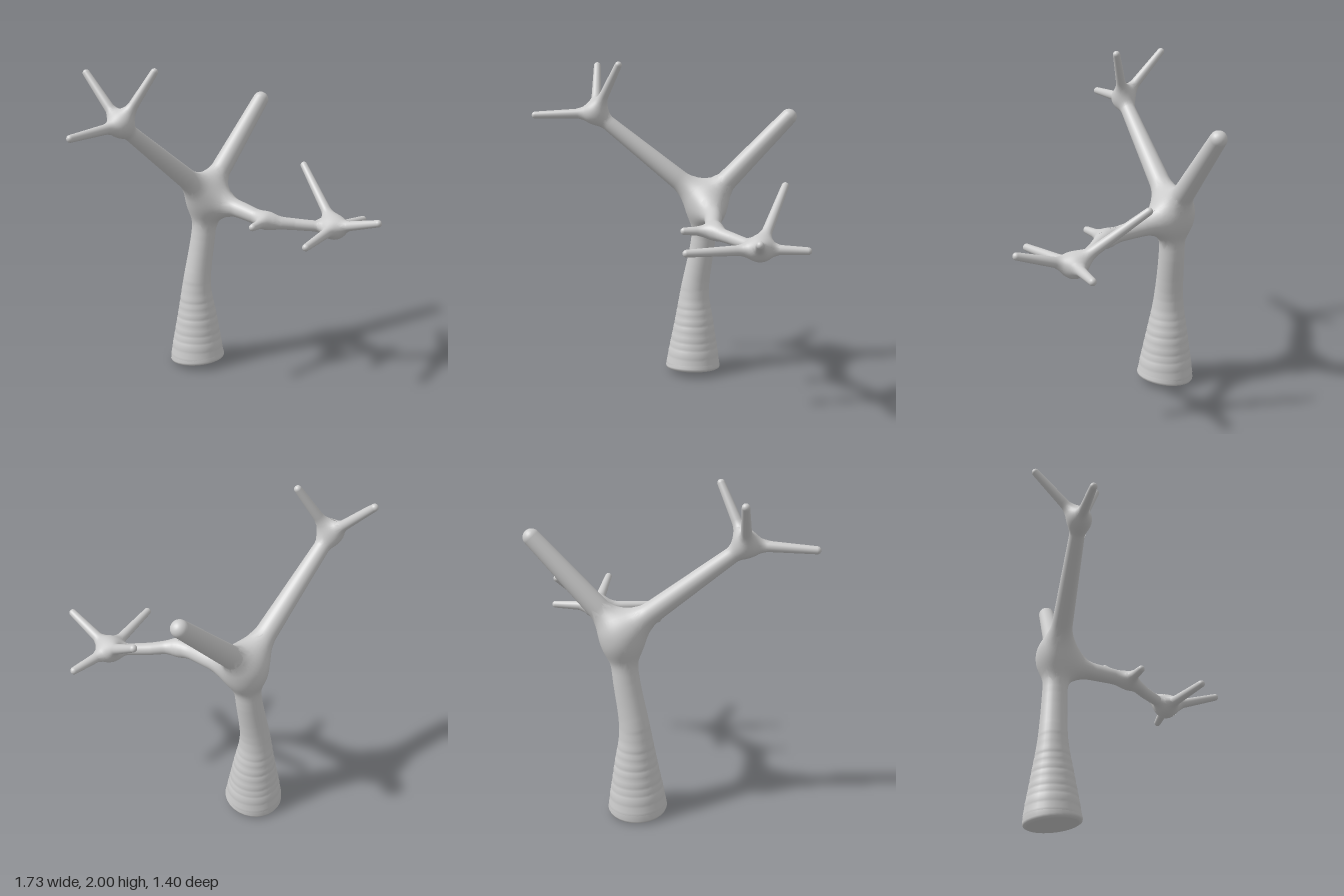
import * as THREE from 'three';

const V = (x, y, z) => new THREE.Vector3(x, y, z);

// Limbs: name, blend width, and path points [x, y, z, radius]
const fork = [0.225, 1.12, -0.42];
const highKnot = [-0.47, 1.675, -0.41];
const lowKnot = [0.57, 0.995, 0.35];
const twig = (name, knot, tip) => [name, 0.075, [[...knot, 0.034], [...tip, 0.022]]];

const LIMBS = [
  ['trunk', 0, [[0.145, 0.06, -0.43, 0.172], [0.15, 0.3, -0.435, 0.13], [0.155, 0.55, -0.44, 0.09],
    [0.205, 0.86, -0.43, 0.077], [...fork, 0.08]]],
  ['leftBough', 0.13, [[...fork, 0.07], [0.73, 1.66, -0.43, 0.05]]],
  ['rightBough', 0.13, [[...fork, 0.07], [...highKnot, 0.043]]],
  ['frontBough', 0.13, [[0.225, 1.07, -0.42, 0.06], [0.275, 1.065, -0.22, 0.055], [0.3, 1.03, 0.04, 0.043],
    [0.42, 1.01, 0.18, 0.036], [...lowKnot, 0.032]]],
  twig('highTwigSide', highKnot, [-0.85, 1.66, -0.395]),
  twig('highTwigBack', highKnot, [-0.495, 1.95, -0.68]),
  twig('highTwigFront', highKnot, [-0.31, 1.98, -0.29]),
  twig('lowTwigSide', lowKnot, [0.84, 0.99, 0.355]),
  twig('lowTwigFront', lowKnot, [0.57, 1.09, 0.68]),
  twig('lowTwigInner', lowKnot, [0.16, 0.99, 0.475]),
  twig('lowTwigRaised', lowKnot, [0.71, 1.295, -0.03]),
  twig('boughStub', [0.3, 1.03, 0.04], [0.12, 1.035, 0.085]),
].map(([name, k, pts]) => {
  const path = new THREE.CatmullRomCurve3(pts.map(p => V(p[0], p[1], p[2])), false, 'catmullrom');
  const girth = new THREE.CatmullRomCurve3(pts.map((p, i) => V(p[3], i, 0)), false, 'catmullrom');
  const n = pts.length > 2 ? 18 : 1;
  const samples = [];
  for (let i = 0; i <= n; i++) samples.push({ p: path.getPoint(i / n), r: girth.getPoint(i / n).x });
  return { name, k, path, girth, samples };
});

// Distance to one limb, a chain of tapered capsules
function limbDistance(limb, x, y, z) {
  let best = Infinity;
  for (let i = 1; i < limb.samples.length; i++) {
    const a = limb.samples[i - 1], b = limb.samples[i];
    const ex = b.p.x - a.p.x, ey = b.p.y - a.p.y, ez = b.p.z - a.p.z;
    const px = x - a.p.x, py = y - a.p.y, pz = z - a.p.z;
    let t = (px * ex + py * ey + pz * ez) / (ex * ex + ey * ey + ez * ez);
    t = Math.max(0, Math.min(1, t));
    const d = Math.hypot(px - t * ex, py - t * ey, pz - t * ez) - (a.r + t * (b.r - a.r));
    if (d < best) best = d;
  }
  return best;
}

// Distance to the whole tree, limbs melting into each other at the joints
function treeDistance(x, y, z) {
  let d = Infinity;
  for (const limb of LIMBS) {
    const e = limbDistance(limb, x, y, z);
    const h = limb.k > 0 ? Math.max(limb.k - Math.abs(d - e), 0) : 0;
    d = Math.min(d, e) - (h > 0 ? (h * h) / (4 * limb.k) : 0);
  }
  return d;
}

// Skin one limb: rings around its path, each point pushed out to the blended surface
function limbGeometry(limb) {
  const SIDES = 28, CAP = 6;
  const along = limb.name.includes('wig') || limb.name === 'boughStub' ? 34 : 64;
  const rings = [];
  if (limb.name !== 'trunk')
    for (let i = 0; i < CAP; i++) rings.push([0, (i / CAP - 1) * Math.PI / 2]);
  for (let i = 0; i <= along; i++) rings.push([i / along, 0]);
  for (let i = 1; i <= CAP; i++) rings.push([1, (i / CAP) * Math.PI / 2]);

  const first = limb.path.getTangent(0);
  const ref = Math.abs(first.y) < 0.8 ? V(0, 1, 0) : V(0, 0, 1);
  const pos = [], nor = [], idx = [];
  const e = 0.002;
  rings.forEach(([t, lat], i) => {
    const c = limb.path.getPoint(t), T = limb.path.getTangent(t);
    const u = ref.clone().cross(T).normalize(), v = T.clone().cross(u);
    const reach = limb.girth.getPoint(t).x * 2.6 + 0.03;
    for (let j = 0; j <= SIDES; j++) {
      const a = (j % SIDES) / SIDES * Math.PI * 2;
      const dir = V(0, 0, 0).addScaledVector(u, Math.cos(a) * Math.cos(lat))
        .addScaledVector(v, Math.sin(a) * Math.cos(lat)).addScaledVector(T, Math.sin(lat));
      let s = 0;
      for (let n = 0; n < 40 && s < reach; n++) {
        const d = treeDistance(c.x + dir.x * s, c.y + dir.y * s, c.z + dir.z * s);
        if (d > -0.0002) break;
        s = Math.min(s - d * 0.85, reach);
      }
      const p = c.clone().addScaledVector(dir, s);
      const g = V(
        treeDistance(p.x + e, p.y, p.z) - treeDistance(p.x - e, p.y, p.z),
        treeDistance(p.x, p.y + e, p.z) - treeDistance(p.x, p.y - e, p.z),
        treeDistance(p.x, p.y, p.z + e) - treeDistance(p.x, p.y, p.z - e)).normalize();
      // the lowest trunk ring faces straight out
      if (limb.name === 'trunk' && t === 0) g.copy(dir);
      pos.push(p.x, p.y, p.z);
      nor.push(g.x, g.y, g.z);
      if (i > 0 && j > 0) {
        const q = i * (SIDES + 1) + j, b = q - SIDES - 1;
        idx.push(b - 1, b, q, b - 1, q, q - 1);
      }
    }
  });
  const geo = new THREE.BufferGeometry();
  geo.setAttribute('position', new THREE.Float32BufferAttribute(pos, 3));
  geo.setAttribute('normal', new THREE.Float32BufferAttribute(nor, 3));
  geo.setIndex(idx);
  return geo;
}

export function createModel() {
  const tree = new THREE.Group();
  tree.name = 'bareTree';
  const bark = new THREE.MeshStandardMaterial({ color: 0xcccccc, roughness: 0.8 });

  for (const limb of LIMBS) {
    const mesh = new THREE.Mesh(limbGeometry(limb), bark);
    mesh.name = limb.name;
    tree.add(mesh);
  }

  // Sawn-off foot of the trunk, slightly tilted, with a rounded rim
  const rim = [[0, -0.03], [0.15, -0.03], [0.155, -0.03], [0.17, -0.022], [0.175, -0.008], [0.167, 0.03]];
  const foot = new THREE.Mesh(
    new THREE.LatheGeometry(rim.map(([r, y]) => new THREE.Vector2(r, y)), 28), bark);
  foot.name = 'trunkFoot';
  foot.position.set(0.145, 0.05, -0.43);
  foot.rotation.x = -0.12;
  tree.add(foot);

  return tree;
}
